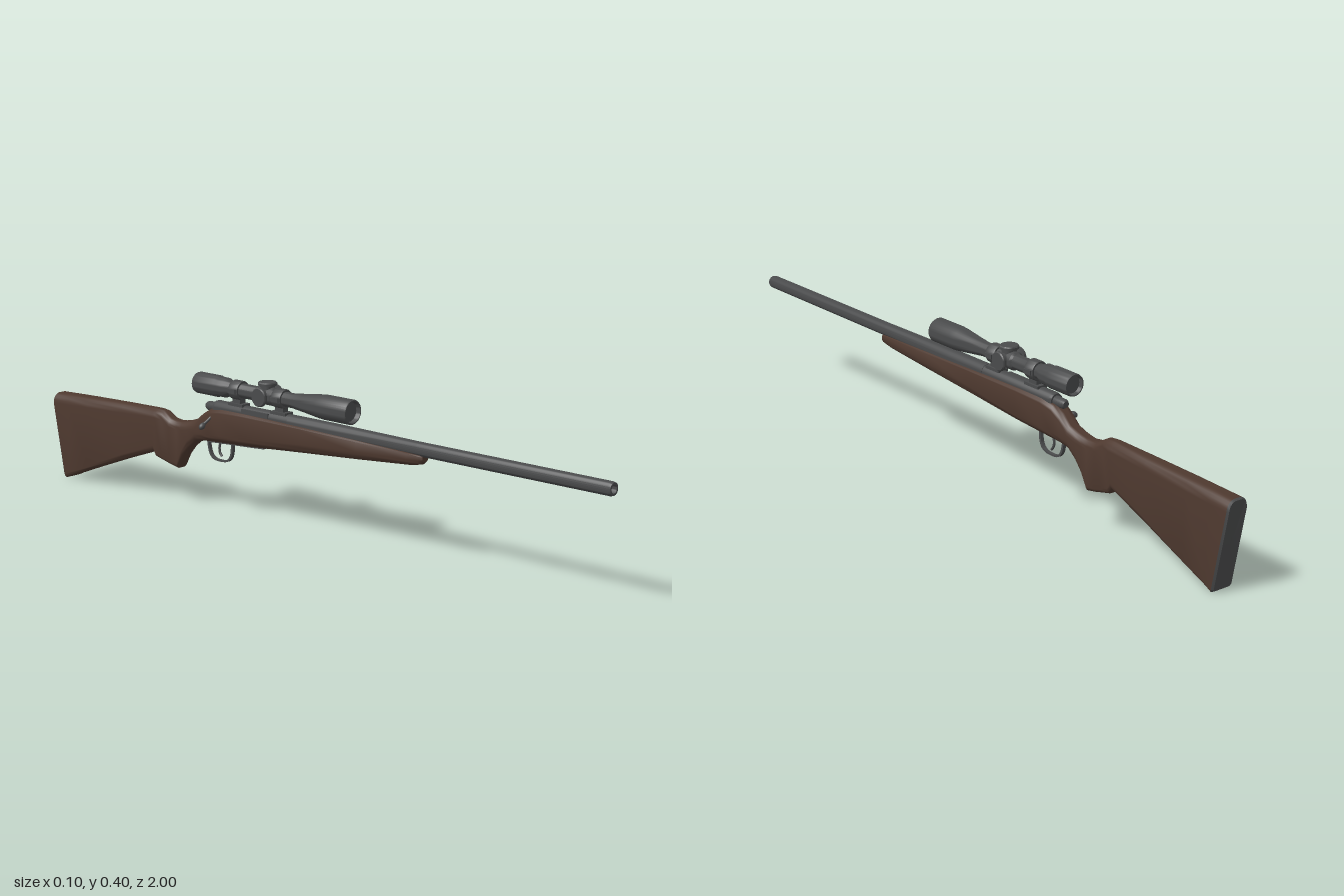
import * as THREE from 'three';
import { toCreasedNormals } from 'three/addons/utils/BufferGeometryUtils.js';

const metal = new THREE.MeshStandardMaterial({ color: 0x4a4b4c });
metal.name = 'gunmetal';
const wood = new THREE.MeshStandardMaterial({ color: 0x4e392f });
wood.name = 'walnut';

const BORE_Y = 0.306, SCOPE_Y = 0.367;

export function createModel() {
  const model = new THREE.Group();
  model.name = 'rifle';
  const body = new THREE.Group();
  body.name = 'body';
  body.position.x = 0.009;
  model.add(body);

  function add(name, geometry, material, x = 0, y = 0, z = 0) {
    const mesh = new THREE.Mesh(geometry, material);
    mesh.name = name;
    mesh.position.set(x, y, z);
    body.add(mesh);
    return mesh;
  }

  // Turned part along z; profile points are [radius, z]
  function turned(profile, segments = 28) {
    const points = profile.map(([r, z]) => new THREE.Vector2(r, z));
    const geo = new THREE.LatheGeometry(points, segments);
    geo.rotateX(Math.PI / 2);
    return toCreasedNormals(geo, 0.6);
  }

  // Rounded section; station = [zTop, zBottom, yTop, yBottom, halfWidth, topRadius, bottomRadius]
  function section([zt, zb, yt, yb, hw, rt, rb]) {
    const pts = [], h = yt - yb, N = 5;
    const corners = [[1, 1, rt, 0], [-1, 1, rt, 1], [-1, -1, rb, 2], [1, -1, rb, 3]];
    for (const [sx, sy, r, q] of corners) {
      const rx = Math.min(r, hw * 0.98), ry = Math.min(r * 1.2, h * 0.48);
      for (let k = 0; k <= N; k++) {
        const a = (q + k / N) * Math.PI / 2;
        const x = sx * (hw - rx) + rx * Math.cos(a);
        const y = (sy > 0 ? yt - ry : yb + ry) + ry * Math.sin(a);
        const t = (y - yb) / h;
        pts.push([x, y, zb + (zt - zb) * (1 - (1 - t) ** 2)]);
      }
    }
    return pts;
  }

  // Skin through sections listed from front to back, with optional end caps
  function loft(stations, capFront, capBack) {
    const rings = stations.map(section), n = rings[0].length;
    const pos = rings.flat(2), index = [];
    for (let i = 0; i < rings.length - 1; i++) {
      for (let j = 0; j < n; j++) {
        const a = i * n + j, b = i * n + (j + 1) % n;
        index.push(a, a + n, b, b, a + n, b + n);
      }
    }
    const cap = (ring, first, back) => {
      const c = pos.length / 3;
      pos.push(...[0, 1, 2].map(k => ring.reduce((s, p) => s + p[k], 0) / n));
      for (let j = 0; j < n; j++) {
        const a = first + j, b = first + (j + 1) % n;
        index.push(c, ...(back ? [b, a] : [a, b]));
      }
    };
    if (capFront) cap(rings[0], 0, false);
    if (capBack) cap(rings.at(-1), (rings.length - 1) * n, true);
    const geo = new THREE.BufferGeometry();
    geo.setAttribute('position', new THREE.Float32BufferAttribute(pos, 3));
    geo.setIndex(index);
    return toCreasedNormals(geo, 0.75);
  }

  // Stock: fore-end, action, wrist, grip and butt
  const butt = [-0.995, -0.95, 0.254, 0.002, 0.033, 0.024, 0.008];
  add('stock', loft([
    [0.418, 0.418, 0.29, 0.275, 0.012, 0.004, 0.010],
    [0.41, 0.41, 0.293, 0.267, 0.018, 0.004, 0.014],
    [0.37, 0.37, 0.295, 0.260, 0.021, 0.004, 0.018],
    [0.2, 0.2, 0.300, 0.246, 0.025, 0.005, 0.020],
    [0.0, 0.0, 0.305, 0.231, 0.028, 0.007, 0.022],
    [-0.2, -0.2, 0.308, 0.216, 0.030, 0.010, 0.020],
    [-0.3, -0.3, 0.308, 0.211, 0.030, 0.014, 0.018],
    [-0.345, -0.345, 0.302, 0.208, 0.029, 0.018, 0.018],
    [-0.375, -0.375, 0.285, 0.205, 0.027, 0.020, 0.018],
    [-0.405, -0.405, 0.263, 0.197, 0.025, 0.022, 0.020],
    [-0.435, -0.435, 0.253, 0.172, 0.024, 0.021, 0.020],
    [-0.46, -0.46, 0.248, 0.142, 0.023, 0.020, 0.018],
    [-0.48, -0.48, 0.246, 0.108, 0.022, 0.020, 0.012],
    [-0.51, -0.51, 0.250, 0.114, 0.023, 0.020, 0.012],
    [-0.54, -0.54, 0.266, 0.122, 0.024, 0.020, 0.012],
    [-0.565, -0.565, 0.268, 0.128, 0.025, 0.020, 0.013],
    [-0.575, -0.575, 0.268, 0.142, 0.025, 0.020, 0.016],
    [-0.7, -0.7, 0.265, 0.098, 0.028, 0.022, 0.014],
    [-0.85, -0.85, 0.260, 0.042, 0.031, 0.023, 0.010],
    [-0.93, -0.93, 0.257, 0.011, 0.032, 0.024, 0.009],
    butt,
  ], true, false), wood);

  // Rounded butt plate
  add('buttPad', loft([
    butt,
    [-1.0, -0.957, 0.250, 0.006, 0.029, 0.021, 0.007],
  ], false, true), metal);

  // Barrel with bore, receiver and bolt
  add('barrel', turned([[0, -0.05], [0.022, -0.05], [0.022, 0.1], [0.019, 0.4], [0.0185, 0.993],
    [0.0165, 1], [0.011, 1], [0.011, 0.94], [0, 0.94]]), metal, 0, BORE_Y);
  add('receiver', turned([[0, -0.335], [0.019, -0.335], [0.021, -0.325], [0.021, 0.02], [0, 0.02]]),
    metal, 0, BORE_Y);
  add('boltShroud', turned([[0, -0.373], [0.009, -0.373], [0.013, -0.366], [0.014, -0.33], [0, -0.33]]),
    metal, 0, BORE_Y);
  add('ejectionPort', new THREE.BoxGeometry(0.006, 0.013, 0.1), metal, -0.019, 0.315, -0.17);

  // Bolt handle sloping down on the right side
  const handlePath = new THREE.CatmullRomCurve3([[-0.008, 0.302, -0.325], [-0.022, 0.286, -0.332],
    [-0.034, 0.273, -0.338], [-0.048, 0.262, -0.343]].map(p => new THREE.Vector3(...p)));
  add('boltHandle', new THREE.TubeGeometry(handlePath, 12, 0.0042, 10), metal);
  const knob = add('boltKnob', new THREE.SphereGeometry(0.0085, 16, 12), metal, -0.052, 0.2585, -0.343);
  knob.scale.x = 1.35;
  knob.rotation.z = 0.65;

  // Trigger guard loop, cut from a flat plate
  const loop = (s) => {
    const w = 0.05 * s, path = new THREE.Shape();
    path.moveTo(-w, 0.03);
    path.bezierCurveTo(-w * 1.1, -0.032 * s, -w * 0.6, -0.035 * s, 0, -0.035 * s);
    path.bezierCurveTo(w * 0.6, -0.035 * s, w * 0.95, -0.03 * s, w, 0.03);
    path.closePath();
    return path;
  };
  const guardShape = loop(1);
  guardShape.holes.push(loop(0.87));
  const guard = new THREE.ExtrudeGeometry(guardShape,
    { depth: 0.01, bevelEnabled: false, curveSegments: 14 });
  guard.translate(0, 0, -0.005);
  guard.rotateY(Math.PI / 2);
  add('triggerGuard', toCreasedNormals(guard, 0.6), metal, 0, 0.187, -0.322);
  add('guardPlate', new THREE.BoxGeometry(0.016, 0.006, 0.22), metal, 0, 0.212, -0.26).rotation.x = -0.06;
  const triggerPath = new THREE.CatmullRomCurve3([[0, 0.215, -0.318], [0, 0.195, -0.327],
    [0, 0.178, -0.326], [0, 0.166, -0.317]].map(p => new THREE.Vector3(...p)));
  add('trigger', new THREE.TubeGeometry(triggerPath, 10, 0.0035, 8), metal);

  // Telescopic sight with recessed lenses
  add('scopeTube', turned([[0, -0.395], [0.024, -0.395], [0.026, -0.406], [0.029, -0.406],
    [0.0305, -0.4], [0.0305, -0.325], [0.028, -0.315], [0.028, -0.295], [0.0205, -0.275],
    [0.0205, -0.04], [0.025, 0.0], [0.0325, 0.06], [0.034, 0.08], [0.034, 0.168],
    [0.032, 0.171], [0.029, 0.171], [0.027, 0.158], [0, 0.158]], 32), metal, 0, SCOPE_Y);

  // Rings, clamps and bases holding the sight
  for (const z of [-0.088, -0.25]) {
    add('scopeRing', turned([[0.02, z - 0.017], [0.0255, z - 0.017], [0.027, z - 0.014],
      [0.027, z + 0.014], [0.0255, z + 0.017], [0.02, z + 0.017]]), metal, 0, SCOPE_Y);
    add('ringFoot', new THREE.BoxGeometry(0.02, 0.02, 0.03), metal, 0, 0.338, z);
    add('mountBase', new THREE.BoxGeometry(0.032, 0.008, 0.055), metal, 0, 0.327, z);
    for (const side of [-1, 1]) {
      add('ringClamp', new THREE.BoxGeometry(0.008, 0.012, 0.028), metal, side * 0.027, SCOPE_Y, z);
    }
  }

  // Adjustment turrets on the saddle: top, left and right
  add('turretSaddle', turned([[0.02, -0.175], [0.025, -0.168], [0.025, -0.112], [0.02, -0.105]]),
    metal, 0, SCOPE_Y);
  const cap = turned([[0, 0], [0.02, 0], [0.02, 0.029], [0.0265, 0.03], [0.0265, 0.036],
    [0.024, 0.039], [0, 0.039]], 24);
  add('topTurret', cap, metal, 0, SCOPE_Y, -0.14).rotation.x = -Math.PI / 2;
  for (const side of [-1, 1]) {
    add('sideTurret', cap, metal, 0, SCOPE_Y, -0.14).rotation.y = side * Math.PI / 2;
  }

  return model;
}
